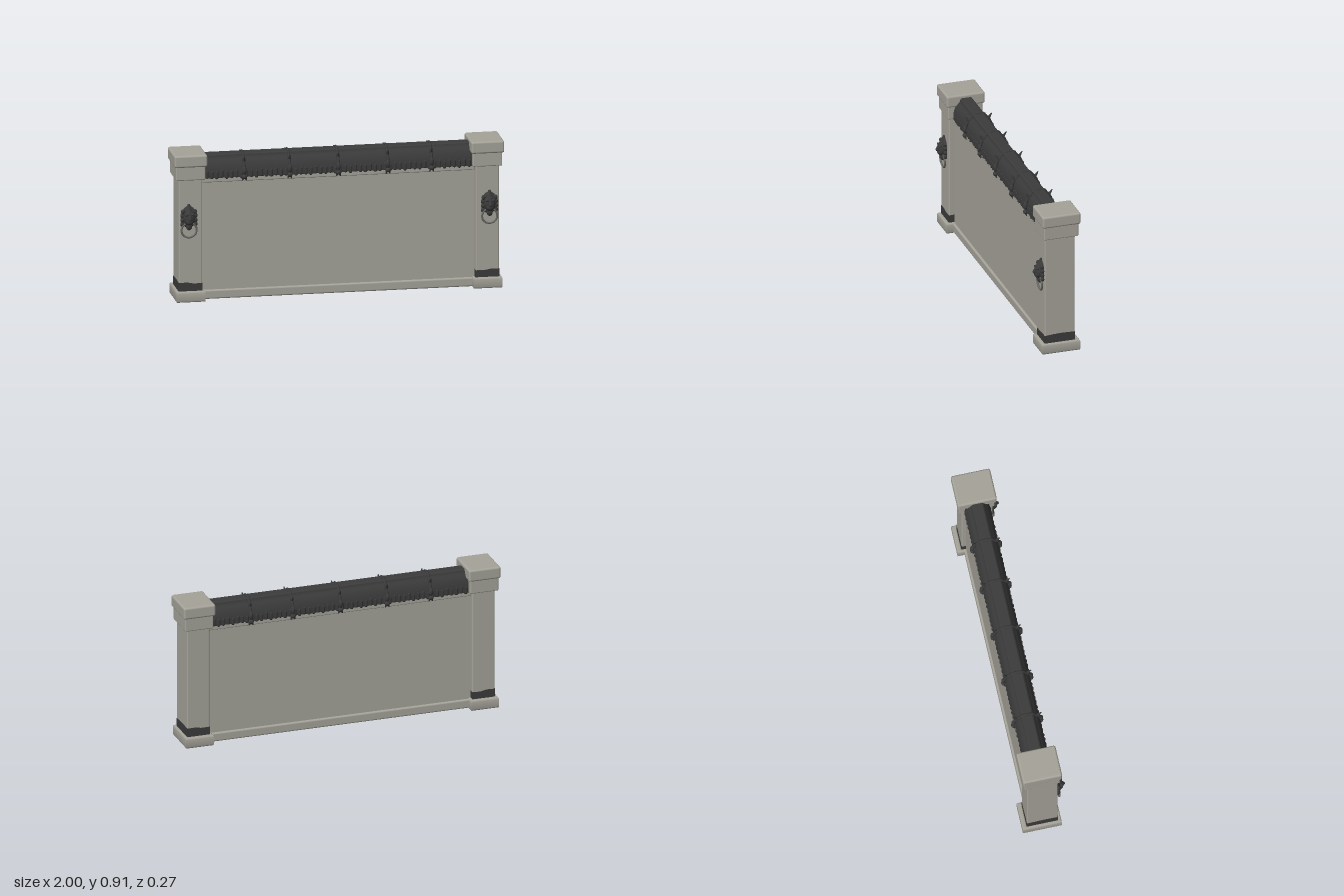
import * as THREE from 'three';
import { RoundedBoxGeometry } from 'three/addons/geometries/RoundedBoxGeometry.js';
import { toCreasedNormals } from 'three/addons/utils/BufferGeometryUtils.js';

const material = (name, color) => {
  const m = new THREE.MeshStandardMaterial({ color });
  m.name = name;
  return m;
};

const ZC = -0.0175; // depth centre of wall and pillars

export function createModel() {
  const stone = material('stone', 0xa5a399);
  const charcoal = material('charcoal', 0x3a3b3a);
  const ringGrey = material('ring grey', 0x6a6964);

  const add = (parent, name, geometry, mat, x = 0, y = 0, z = 0) => {
    const mesh = new THREE.Mesh(geometry, mat);
    mesh.name = name;
    mesh.position.set(x, y, z);
    parent.add(mesh);
    return mesh;
  };

  // Box with softened edges between two heights
  const block = (parent, name, w, y0, y1, d, r, mat, x = 0, z = ZC) =>
    add(parent, name, new RoundedBoxGeometry(w, y1 - y0, d, 3, r), mat, x, (y0 + y1) / 2, z);

  // Cone or drop between two points
  const spike = (parent, name, from, to, r0, r1, mat) => {
    const a = new THREE.Vector3(...from), b = new THREE.Vector3(...to);
    const dir = b.clone().sub(a);
    const mesh = add(parent, name, new THREE.CylinderGeometry(r1, r0, dir.length(), 8), mat);
    mesh.position.copy(a).add(b).multiplyScalar(0.5);
    mesh.quaternion.setFromUnitVectors(new THREE.Vector3(0, 1, 0), dir.normalize());
  };

  const ball = (parent, name, x, y, z, sx, sy, sz, mat) =>
    add(parent, name, new THREE.SphereGeometry(1, 20, 14), mat, x, y, z).scale.set(sx, sy, sz);

  const model = new THREE.Group();
  model.name = 'gardenWall';

  // Wall panel, plinth and moulding below the roof
  const wall = new THREE.Group();
  wall.name = 'wall';
  model.add(wall);
  block(wall, 'panel', 1.7, 0.02, 0.765, 0.126, 0.003, stone);
  block(wall, 'plinth', 1.66, 0.004, 0.06, 0.152, 0.01, stone);
  block(wall, 'topMoulding', 1.66, 0.722, 0.76, 0.138, 0.006, stone);

  // Roof: one cross-section run along the wall
  const roof = new THREE.Group();
  roof.name = 'roof';
  model.add(roof);
  const half = [[0.076, 0.75], [0.077, 0.775], [0.073, 0.805], [0.063, 0.835],
    [0.05, 0.855], [0.039, 0.866], [0.036, 0.88], [0.028, 0.886]];
  const profile = [...half, ...half.map(([z, y]) => [-z, y]).reverse()];
  const roofShape = new THREE.Shape(profile.map(([z, y]) => new THREE.Vector2(z, y)));
  const roofGeometry = new THREE.ExtrudeGeometry(roofShape, { depth: 1.66, bevelEnabled: false });
  roofGeometry.translate(0, 0, -0.83).rotateY(Math.PI / 2).translate(0, 0, ZC);
  add(roof, 'roofBody', toCreasedNormals(roofGeometry, 0.6), charcoal);

  // Rounded tile ends along both eaves
  const tile = new THREE.CapsuleGeometry(0.011, 0.03, 3, 8);
  for (const s of [-1, 1]) {
    for (let i = 0; i < 54; i++) {
      const drop = 0.004 * Math.sin(i * 2.3 + s);
      add(roof, 'tileEnd', tile, charcoal, -0.795 + i * 0.03, 0.769 + drop, ZC + s * 0.07);
    }
  }

  // Ribs strapped over the roof, with horned shoulders and forked feet
  const ribPath = [[0.079, 0.745], [0.083, 0.78], [0.077, 0.815], [0.064, 0.842], [0.045, 0.864], [0.03, 0.882]];
  for (const x of [-0.57, -0.295, 0, 0.3, 0.565]) {
    const rib = new THREE.Group();
    rib.name = 'roofRib';
    rib.position.set(x, 0, ZC);
    roof.add(rib);
    const points = [...ribPath, ...ribPath.map(([z, y]) => [-z, y]).reverse()];
    const curve = new THREE.CatmullRomCurve3(points.map(([z, y]) => new THREE.Vector3(0, y, z)));
    add(rib, 'strap', new THREE.TubeGeometry(curve, 40, 0.009, 8), charcoal);
    for (const s of [-1, 1]) {
      spike(rib, 'horn', [0, 0.842, s * 0.06], [0, 0.875, s * 0.084], 0.011, 0.003, charcoal);
      ball(rib, 'boss', 0, 0.79, s * 0.084, 0.013, 0.025, 0.013, charcoal);
      ball(rib, 'foot', 0, 0.752, s * 0.085, 0.016, 0.014, 0.013, charcoal);
      for (const k of [-1, 1])
        spike(rib, 'prong', [k * 0.005, 0.752, s * 0.084], [k * 0.012, 0.728, s * 0.08], 0.009, 0.003, charcoal);
    }
  }

  // Beast-head knocker with a hanging ring
  const addKnocker = (parent) => {
    const knocker = new THREE.Group();
    knocker.name = 'knocker';
    knocker.position.set(0, 0.52, 0.08);
    parent.add(knocker);
    ball(knocker, 'mane', 0, 0.005, 0, 0.047, 0.068, 0.028, charcoal);
    ball(knocker, 'face', 0, 0, 0.016, 0.034, 0.045, 0.027, charcoal);
    ball(knocker, 'muzzle', 0, -0.018, 0.028, 0.024, 0.022, 0.019, charcoal);
    ball(knocker, 'chin', 0, -0.05, 0.014, 0.019, 0.025, 0.014, charcoal);
    spike(knocker, 'nose', [0, 0.035, 0.025], [0, -0.002, 0.049], 0.012, 0.009, charcoal);
    ball(knocker, 'noseTip', 0, -0.002, 0.046, 0.011, 0.011, 0.011, charcoal);
    spike(knocker, 'crest', [0, 0.04, 0.012], [0, 0.083, 0.002], 0.02, 0.007, charcoal);
    for (const s of [-1, 1]) {
      ball(knocker, 'brow', s * 0.018, 0.025, 0.034, 0.013, 0.008, 0.009, charcoal);
      ball(knocker, 'ear', s * 0.037, 0.04, 0.012, 0.012, 0.015, 0.01, charcoal);
      for (const y of [0.015, -0.012, -0.038])
        ball(knocker, 'maneCurl', s * 0.039, y, 0.008, 0.013, 0.016, 0.012, charcoal);
    }
    const ring = add(knocker, 'ring', new THREE.TorusGeometry(0.046, 0.006, 10, 36), ringGrey, 0, -0.074, 0.014);
    ring.rotation.x = 0.06;
  };

  // Hollow foot of a pillar
  const rect = (Type, w, d) => new Type([[-1, -1], [1, -1], [1, 1], [-1, 1]]
    .map(([a, b]) => new THREE.Vector2(a * w / 2, b * d / 2)));
  const footShape = rect(THREE.Shape, 0.159, 0.222);
  footShape.holes.push(rect(THREE.Path, 0.146, 0.196));
  const footGeometry = new THREE.ExtrudeGeometry(footShape,
    { depth: 0.05, bevelThickness: 0.008, bevelSize: 0.008, bevelSegments: 3 });
  footGeometry.rotateX(-Math.PI / 2);

  // Dark soil band with an uneven top edge
  const bandGeometry = new THREE.BoxGeometry(0.145, 0.09, 0.191, 12, 1, 12);
  const p = bandGeometry.attributes.position;
  for (let i = 0; i < p.count; i++) {
    if (p.getY(i) < 0) continue;
    const x = p.getX(i), z = p.getZ(i);
    p.setY(i, 0.042 + x * 0.07 - z * 0.02 + 0.006 * Math.cos(z * 14) + 0.002 * Math.sin(x * 70));
  }
  bandGeometry.computeVertexNormals();

  // Pillars, mirrored left and right
  for (const s of [-1, 1]) {
    const pillar = new THREE.Group();
    pillar.name = s > 0 ? 'leftPillar' : 'rightPillar';
    pillar.position.x = s * 0.9;
    model.add(pillar);
    add(pillar, 'foot', toCreasedNormals(footGeometry, 0.7), stone, 0, 0.008, ZC);
    const band = add(pillar, 'soilBand', bandGeometry, charcoal, 0, 0.07, ZC + 0.004);
    if (s < 0) band.rotation.y = Math.PI;
    block(pillar, 'shaft', 0.142, 0.03, 0.77, 0.188, 0.007, stone, 0, ZC + 0.004);
    block(pillar, 'neck', 0.178, 0.75, 0.84, 0.216, 0.007, stone);
    block(pillar, 'cap', 0.2, 0.832, 0.906, 0.239, 0.012, stone);
    const mount = new THREE.Group();
    mount.name = 'knockerMount';
    mount.position.x = s * 0.011;
    pillar.add(mount);
    addKnocker(mount);
  }

  return model;
}
